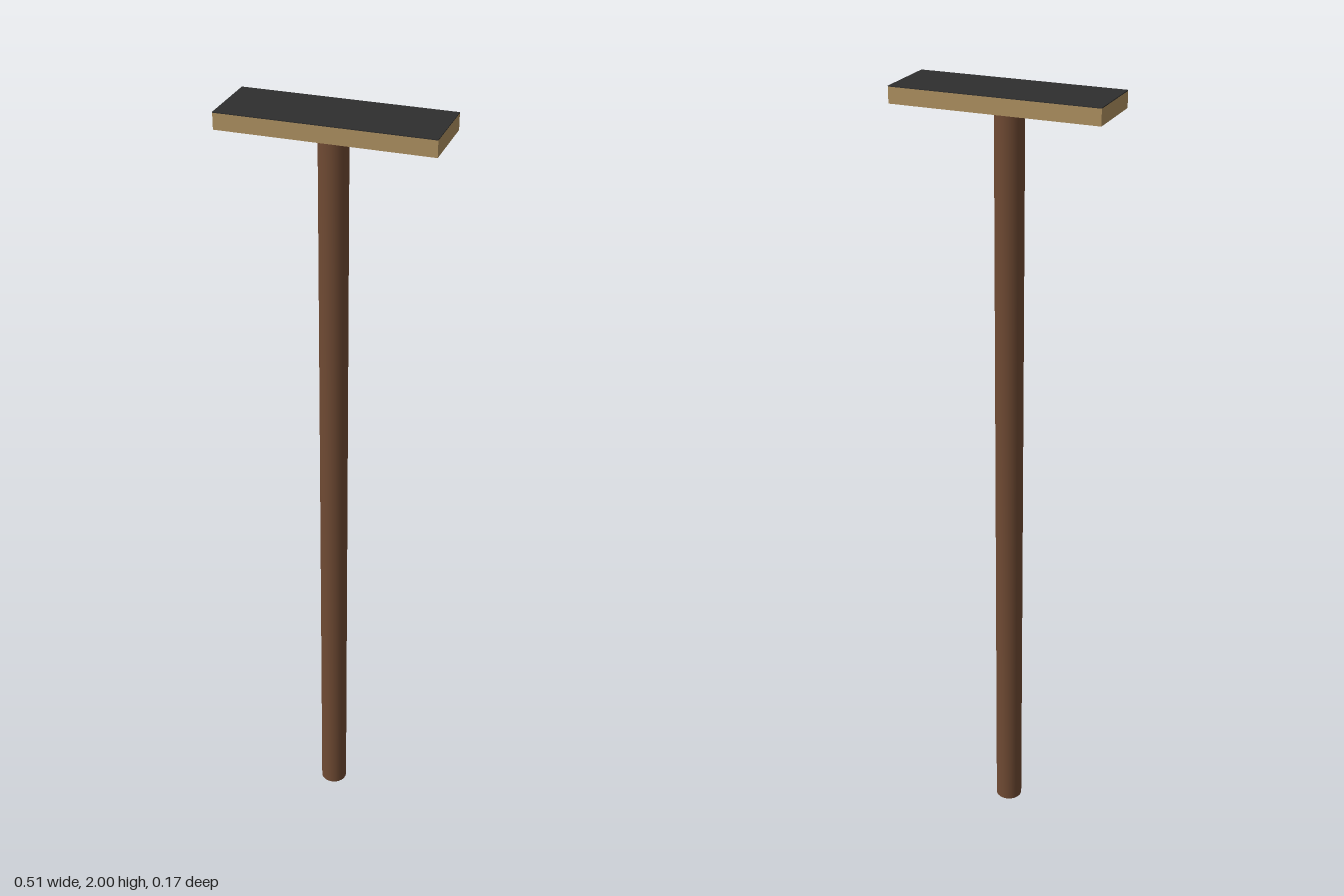
import * as THREE from 'three';

const mat = (color) => new THREE.MeshStandardMaterial({ color });

function addPart(group, name, geometry, color, x, y, z) {
  const mesh = new THREE.Mesh(geometry, mat(color));
  mesh.name = name;
  mesh.position.set(x, y, z);
  group.add(mesh);
}

export function createModel() {
  const model = new THREE.Group();
  model.name = 'polishingTool';
  const width = 0.507, depth = 0.172, top = 2, padThickness = 0.002;
  const boardHeight = 0.04, boardBottom = top - boardHeight;

  // Long round handle, set slightly off the board's centre
  addPart(model, 'handle', new THREE.CylinderGeometry(0.035, 0.035, boardBottom, 32),
    0x6f4a33, -0.007, boardBottom / 2, -0.004);

  // Wooden head board
  const woodHeight = boardHeight - padThickness;
  addPart(model, 'headBoard', new THREE.BoxGeometry(width, woodHeight, depth),
    0xae9060, 0, boardBottom + woodHeight / 2, 0);

  // Thin dark pad covering the top of the board
  addPart(model, 'pad', new THREE.BoxGeometry(width, padThickness, depth),
    0x2e2e2e, 0, top - padThickness / 2, 0);

  return model;
}
